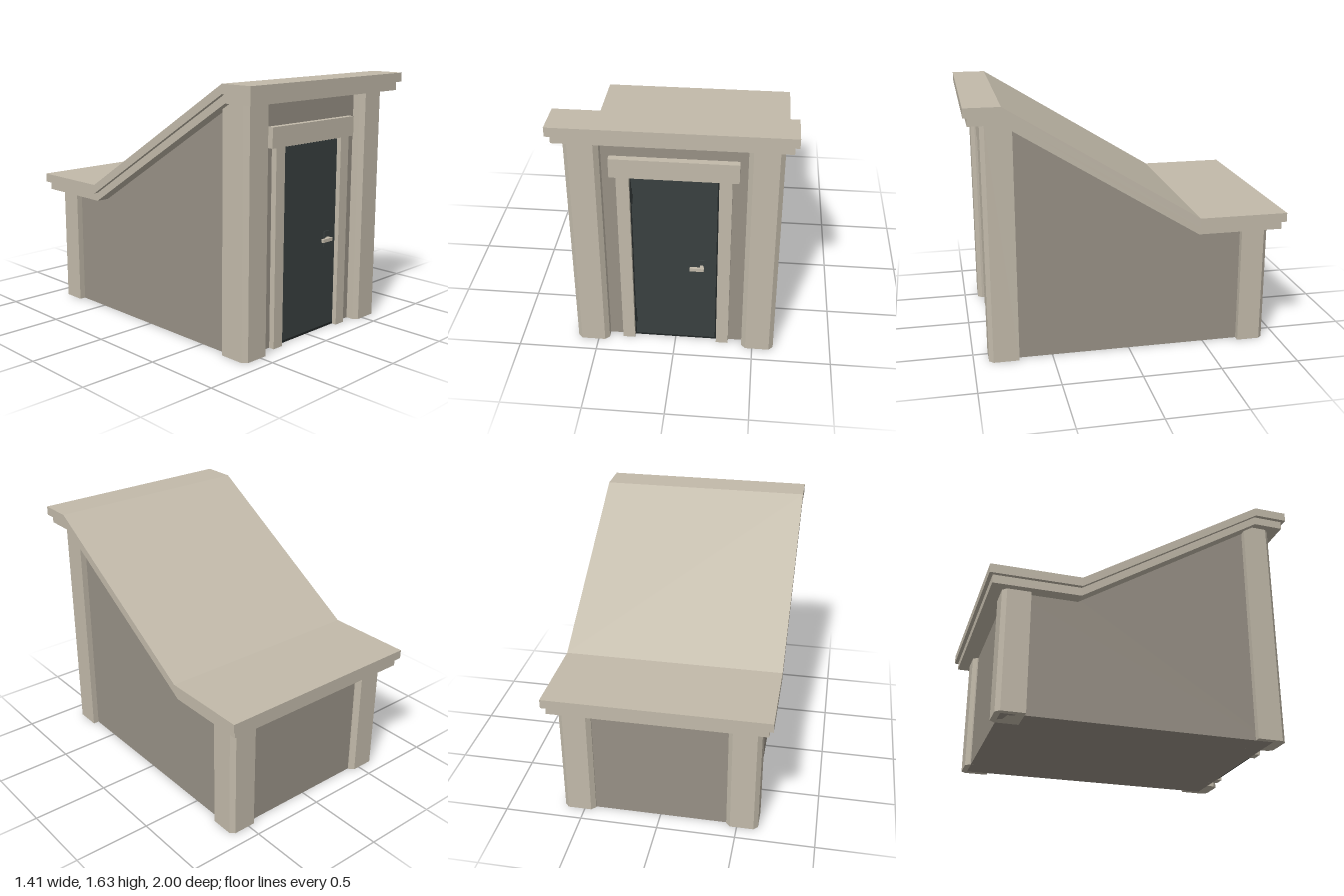
import * as THREE from 'three';

const material = (name, color) => {
  const m = new THREE.MeshStandardMaterial({ color });
  m.name = name;
  return m;
};

export function createModel() {
  const model = new THREE.Group();
  model.name = 'entranceShelter';
  const trim = material('pale stone', 0xc2baaa);
  const wall = material('grey stone', 0x989186);
  const doorPaint = material('dark slate', 0x394040);
  const shadowGap = material('near black', 0x222727);

  const add = (name, geometry, mat, parent = model) => {
    const mesh = new THREE.Mesh(geometry, mat);
    mesh.name = name;
    parent.add(mesh);
    return mesh;
  };

  // Box given by its limits on each axis
  const box = (name, [x0, x1], [y0, y1], [z0, z1], mat, parent) => {
    const mesh = add(name, new THREE.BoxGeometry(x1 - x0, y1 - y0, z1 - z0), mat, parent);
    mesh.position.set((x0 + x1) / 2, (y0 + y1) / 2, (z0 + z1) / 2);
    return mesh;
  };

  // Side profile of (z, y) points, swept across the width
  const sweep = (name, points, halfWidth, mat) => {
    const shape = new THREE.Shape(points.map(([z, y]) => new THREE.Vector2(z, y)));
    const geometry = new THREE.ExtrudeGeometry(shape, { depth: halfWidth * 2, bevelEnabled: false });
    geometry.translate(0, 0, -halfWidth).rotateY(-Math.PI / 2);
    return add(name, geometry, mat);
  };

  // Roof line: flat front, long slope, flat back
  const roofLine = (zEnd, drop) => [
    [zEnd, 1.635 - drop], [0.78, 1.635 - drop], [-0.43, 0.887 - drop], [-zEnd, 0.887 - drop],
  ];
  const roofLayer = (name, zEnd, top, bottom, halfWidth) =>
    sweep(name, [...roofLine(zEnd, top), ...roofLine(zEnd, bottom).reverse()], halfWidth, trim);
  roofLayer('roofSlab', 1, 0, 0.058, 0.705);
  roofLayer('roofSoffit', 0.977, 0.058, 0.112, 0.68);

  // Walls and floor as one solid under the roof
  sweep('walls', [
    [0.83, 0], [0.83, 1.54], [0.78, 1.54], [-0.43, 0.795], [-0.87, 0.795], [-0.87, 0],
  ], 0.595, wall);

  // Corner pillars with chamfered outer edges
  const pillar = (name, sx, sz, zInner, height) => {
    const c = 0.027;
    const points = [
      [0.43, zInner], [0.635, zInner], [0.635, 0.905 - c], [0.635 - c, 0.905],
      [0.43 + c, 0.905], [0.43, 0.905 - c],
    ].map(([x, z]) => new THREE.Vector2(x * sx, -z * sz));
    const geometry = new THREE.ExtrudeGeometry(new THREE.Shape(points), { depth: height, bevelEnabled: false });
    add(name, geometry.rotateX(-Math.PI / 2), trim);
  };
  for (const [side, sx] of [['left', 1], ['right', -1]]) {
    pillar(`${side}FrontPillar`, sx, 1, 0.715, 1.53);
    pillar(`${side}BackPillar`, sx, -1, 0.73, 0.785);
  }

  // Door surround
  const surround = new THREE.Group();
  surround.name = 'doorSurround';
  model.add(surround);
  box('leftDoorPost', [0.265, 0.342], [0, 1.245], [0.8, 0.867], trim, surround);
  box('rightDoorPost', [-0.342, -0.265], [0, 1.245], [0.8, 0.867], trim, surround);
  box('lintel', [-0.382, 0.382], [1.245, 1.37], [0.8, 0.872], trim, surround);

  // Door, hinges and handle
  const door = new THREE.Group();
  door.name = 'door';
  model.add(door);
  box('doorRecess', [-0.265, 0.265], [0.001, 1.245], [0.8, 0.836], shadowGap, door);
  box('doorPanel', [-0.256, 0.256], [0.02, 1.235], [0.81, 0.843], doorPaint, door);
  for (const y of [0.12, 1.05]) {
    box('hinge', [-0.263, -0.25], [y, y + 0.11], [0.83, 0.85], shadowGap, door);
  }
  box('handlePlate', [0.145, 0.19], [0.55, 0.652], [0.84, 0.85], doorPaint, door);
  box('handleStem', [0.157, 0.178], [0.592, 0.614], [0.845, 0.872], trim, door);
  box('handleLever', [0.095, 0.182], [0.592, 0.614], [0.868, 0.885], trim, door);

  return model;
}
